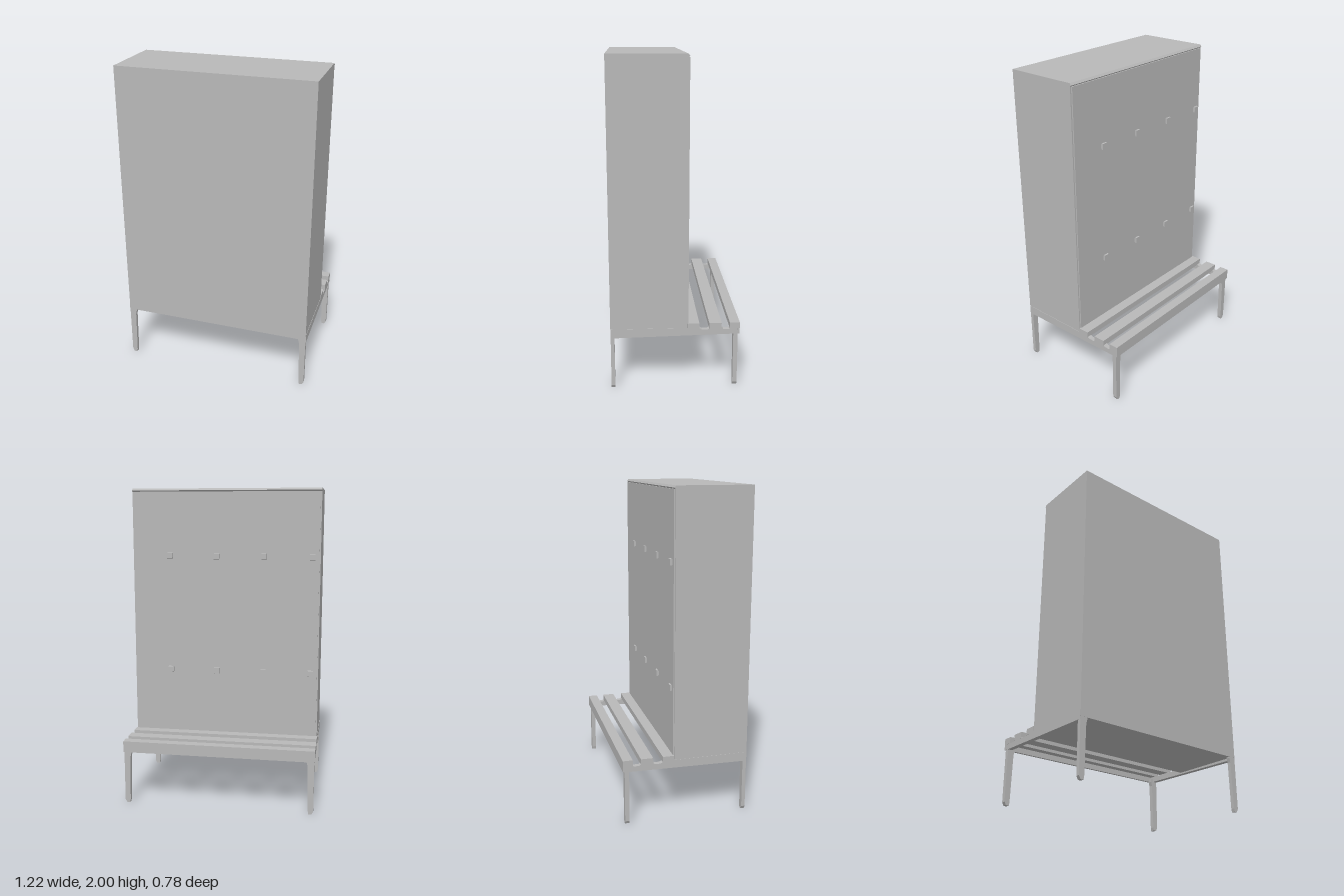
import * as THREE from 'three';

export function createModel() {
  const group = new THREE.Group();
  group.name = 'cabinetBench';
  const grey = new THREE.MeshStandardMaterial({ color: 0xb8b8b8 });
  grey.name = 'plain grey';

  const add = (name, geometry) => {
    const mesh = new THREE.Mesh(geometry, grey);
    mesh.name = name;
    group.add(mesh);
    return mesh;
  };
  // box given by its limits on each axis
  const box = (name, x0, x1, y0, y1, z0, z1) => {
    const mesh = add(name, new THREE.BoxGeometry(x1 - x0, y1 - y0, z1 - z0));
    mesh.position.set((x0 + x1) / 2, (y0 + y1) / 2, (z0 + z1) / 2);
    return mesh;
  };
  // outline in (z, y), extruded along x and centred on the given x
  const sideProfile = (name, points, width, x) => {
    const shape = new THREE.Shape(points.map(([z, y]) => new THREE.Vector2(-z, y)));
    const geometry = new THREE.ExtrudeGeometry(shape, { depth: width, bevelEnabled: false });
    geometry.translate(0, 0, -width / 2).rotateY(Math.PI / 2);
    const mesh = add(name, geometry);
    mesh.position.x = x;
    return mesh;
  };

  // cabinet body with a small chamfer along the upper rear edge
  sideProfile('cabinetBody', [
    [0.39, 0.345], [0.39, 2], [-0.07, 2], [-0.08, 1.988], [-0.072, 1.98], [-0.072, 0.345],
  ], 1.21, 0);
  box('backPanel', -0.597, 0.597, 0.4, 1.98, -0.08, -0.07);

  // bench slats and the apron under the outer one
  for (const [z0, z1] of [[-0.145, -0.075], [-0.28, -0.205], [-0.39, -0.33]]) {
    box('benchSlat', -0.608, 0.608, 0.375, 0.413, z0, z1);
  }
  box('benchApron', -0.608, 0.608, 0.342, 0.38, -0.39, -0.375);

  for (const side of [-1, 1]) {
    // side rail carrying cabinet and bench, dipped between the slats
    sideProfile('sideRail', [
      [0.388, 0.328], [0.388, 0.385], [-0.07, 0.385], [-0.145, 0.38], [-0.16, 0.372],
      [-0.195, 0.372], [-0.21, 0.38], [-0.28, 0.38], [-0.29, 0.372], [-0.325, 0.372],
      [-0.335, 0.38], [-0.385, 0.38], [-0.385, 0.341],
    ], 0.03, side * 0.592);

    // tapered legs, straight on the outer edge
    for (const [name, z0, z1] of [['frontLeg', 0.366, 0.389], ['rearLeg', -0.379, -0.352]]) {
      const shape = new THREE.Shape([
        [0.605, 0.36], [0.558, 0.36], [0.558, 0.338], [0.565, 0.31],
        [0.571, 0.02], [0.575, 0], [0.594, 0], [0.605, 0.02],
      ].map(([x, y]) => new THREE.Vector2(side * x, y)));
      const leg = add(name, new THREE.ExtrudeGeometry(shape, { depth: z1 - z0, bevelEnabled: false }));
      leg.position.z = z0;
    }
  }

  // two rows of coat hooks on the back panel
  for (const y of [0.83, 1.575]) {
    for (const x of [-0.555, -0.25, 0.055, 0.36]) {
      sideProfile('coatHook', [
        [-0.078, y - 0.012], [-0.078, y + 0.012], [-0.085, y + 0.02],
        [-0.094, y + 0.018], [-0.094, y - 0.018], [-0.087, y - 0.02],
      ], 0.034, x);
    }
  }
  return group;
}
